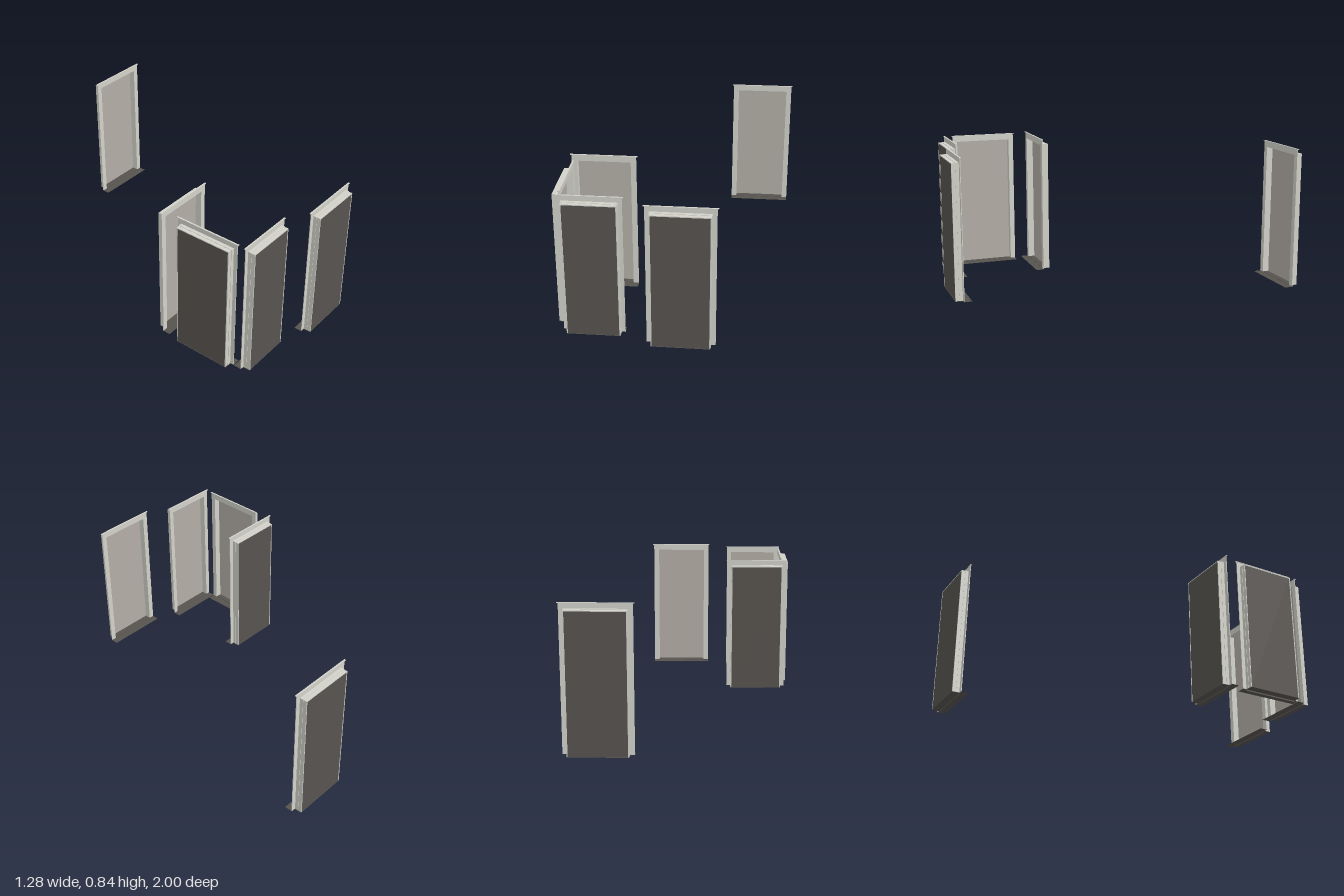
import * as THREE from 'three';

const mat = (color) => new THREE.MeshStandardMaterial({ color, side: THREE.DoubleSide });
const frameMat = mat(0xd2d2ca);
const darkMat = mat(0x57534f);
const paneMat = mat(0xb3aea6);

const BASE = 0.01;      // bottom of the frame
const TRIM_TOP = 0.84;
const JAMB_TOP = 0.81;
const DEPTH = 0.045;    // how far the jambs reach outwards
const BORDER = 0.007;   // jamb thickness

function add(group, name, geometry, material, x = 0, y = 0, z = 0) {
  const mesh = new THREE.Mesh(geometry, material);
  mesh.name = name;
  mesh.position.set(x, y, z);
  group.add(mesh);
  return mesh;
}

// Upside-down U: two legs and a head, open at the bottom
function archFrame(outerHalf, outerTop, innerHalf, innerTop, depth) {
  const s = new THREE.Shape([
    [-outerHalf, BASE], [-innerHalf, BASE], [-innerHalf, innerTop], [innerHalf, innerTop],
    [innerHalf, BASE], [outerHalf, BASE], [outerHalf, outerTop], [-outerHalf, outerTop],
  ].map(([x, y]) => new THREE.Vector2(x, y)));
  return new THREE.ExtrudeGeometry(s, { depth, bevelEnabled: false });
}

// One window unit; its outer side faces local +z, the casing lies at z = 0
function windowUnit(name, trimWidth, jambWidth) {
  const g = new THREE.Group();
  g.name = name;
  const half = jambWidth / 2;
  const open = half - BORDER;
  const openTop = JAMB_TOP - BORDER;

  // flat casing with a slightly wider cap strip
  add(g, 'casing', archFrame(trimWidth / 2, TRIM_TOP, open, openTop, 0.004), frameMat, 0, 0, -0.002);
  add(g, 'casingCap', new THREE.BoxGeometry(trimWidth + 0.014, 0.004, 0.01), frameMat, 0, TRIM_TOP, 0);

  // jambs in two steps
  add(g, 'innerJamb', archFrame(half, JAMB_TOP, open, openTop, DEPTH / 2), frameMat);
  add(g, 'outerJamb', archFrame(half - 0.002, JAMB_TOP - 0.002, open, openTop, DEPTH / 2), frameMat, 0, 0, DEPTH / 2);

  // glazing inside, dark panel outside
  const height = openTop - BASE;
  const midY = BASE + height / 2;
  add(g, 'pane', new THREE.PlaneGeometry(open * 2, height), paneMat, 0, midY, DEPTH - 0.008);
  add(g, 'outerPanel', new THREE.BoxGeometry(open * 2 - 0.002, height, 0.004), darkMat, 0, midY, DEPTH - 0.003);

  // thin sill reaching inwards, bottom of the jamb box and lip below it
  const sill = add(g, 'sill', new THREE.PlaneGeometry(trimWidth, 0.047), darkMat, 0, BASE - 0.002, -0.0235);
  sill.rotation.x = -Math.PI / 2;
  const floor = add(g, 'jambFloor', new THREE.PlaneGeometry(jambWidth, DEPTH), darkMat, 0, BASE - 0.002, DEPTH / 2);
  floor.rotation.x = -Math.PI / 2;
  add(g, 'sillLip', new THREE.PlaneGeometry(jambWidth, BASE), darkMat, 0, BASE / 2, 0);
  return g;
}

export function createModel() {
  const model = new THREE.Group();
  model.name = 'windowSet';
  // name, x, z, turn, casing width, jamb width
  const units = [
    ['frontWindow', 0.065, 0.955, 0, 0.38, 0.33],
    ['bayFrontWindow', -0.428, 0.87, 0, 0.348, 0.305],
    ['bayBackWindow', -0.44, 0.33, Math.PI, 0.375, 0.325],
    ['baySideWindow', -0.6, 0.622, -Math.PI / 2, 0.395, 0.35],
    ['backWindow', 0.438, -0.955, Math.PI, 0.39, 0.338],
  ];
  for (const [name, x, z, turn, trimWidth, jambWidth] of units) {
    const unit = windowUnit(name, trimWidth, jambWidth);
    unit.position.set(x, 0, z);
    unit.rotation.y = turn;
    model.add(unit);
  }
  return model;
}
